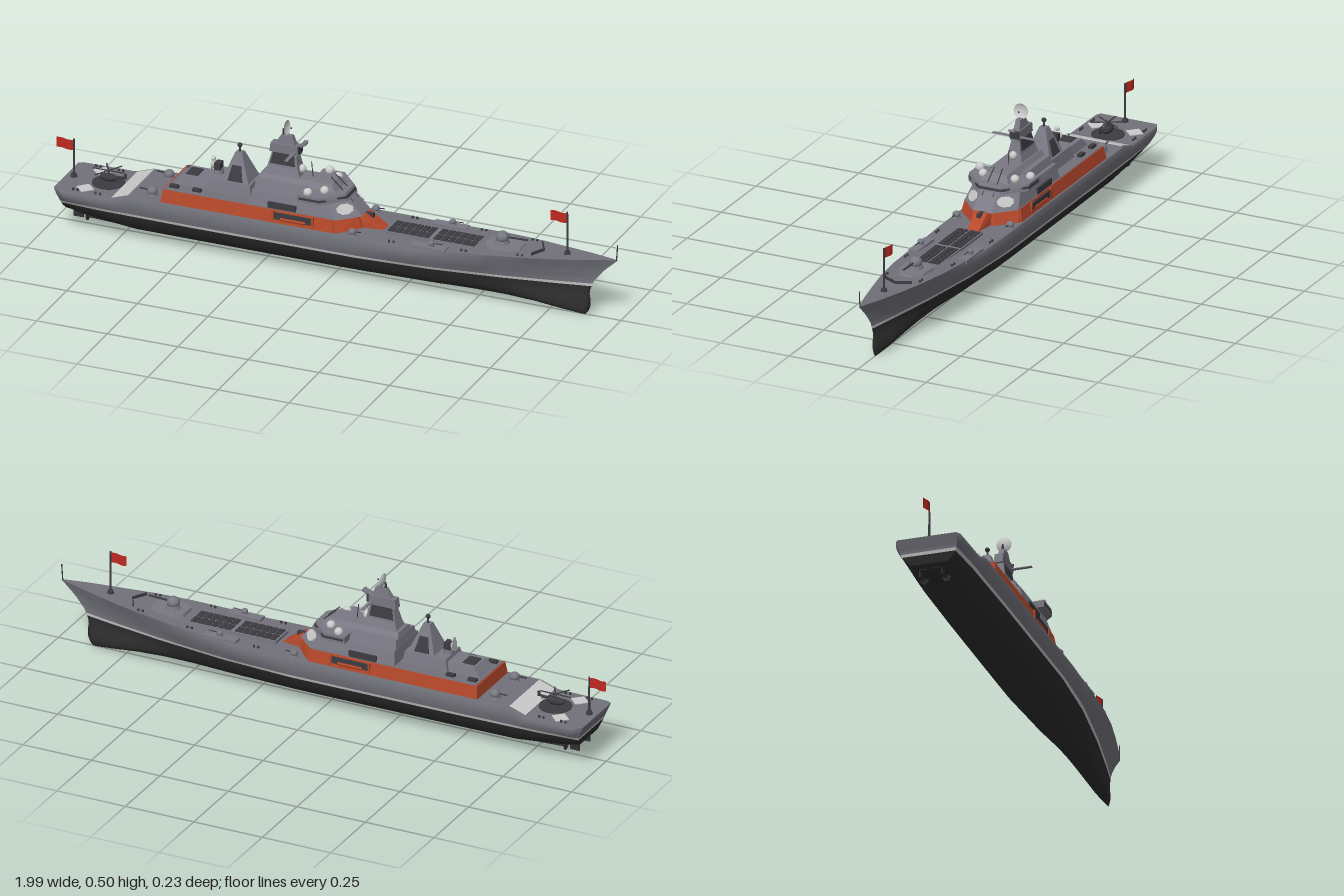
import * as THREE from 'three';
import { ConvexGeometry } from 'three/addons/geometries/ConvexGeometry.js';
import { ParametricGeometry } from 'three/addons/geometries/ParametricGeometry.js';

const mat = (color, flatShading = true) =>
  new THREE.MeshStandardMaterial({ color, flatShading, side: THREE.DoubleSide });
const GREY = mat(0x7a7984), DARK = mat(0x3b3b41), ORANGE = mat(0xb5482a), LIGHT = mat(0xc4c4c0, false);
const DECK = mat(0x72717b), HULL = mat(0x787881, false), BLACK = mat(0x2f2f2f, false), RED = mat(0xc02a22);

// piecewise linear lookup in [[key, value], ...]
function lookup(table, k) {
  if (k <= table[0][0]) return table[0][1];
  for (let i = 1; i < table.length; i++) {
    const [a, va] = table[i - 1], [b, vb] = table[i];
    if (k <= b) return va + (vb - va) * (k - a) / (b - a);
  }
  return table[table.length - 1][1];
}

// hull lines
const STEM = [[0, 0.872], [0.01, 0.882], [0.03, 0.891], [0.05, 0.893], [0.085, 0.888], [0.128, 0.905], [0.17, 0.94], [0.216, 0.99]];
const STERN = [[0.04, -0.9], [0.075, -0.936], [0.123, -0.95], [0.16, -0.966]];
const SHEER = [[-0.76, 0.16], [-0.7, 0.181], [0.34, 0.182], [0.46, 0.189], [0.6, 0.196], [0.8, 0.205], [0.985, 0.216]];
const KEEL = [[-0.94, 0.062], [-0.9, 0.048], [-0.74, 0.028], [0.6, 0.027], [0.7, 0.022], [0.8, 0.01], [0.88, 0.001]];
const BEAM = [[-0.97, 0.1], [-0.95, 0.113], [-0.6, 0.117], [0.2, 0.117], [0.36, 0.112], [0.58, 0.094],
  [0.7, 0.075], [0.8, 0.053], [0.9, 0.028], [0.99, 0]];
const WATERLINE = [[-0.97, 0.09], [-0.8, 0.1], [-0.5, 0.104], [0.1, 0.104], [0.35, 0.088], [0.6, 0.054], [0.78, 0.022], [0.89, 0]];
const FULLNESS = [[0, 0.33], [0.3, 0.36], [0.6, 0.42], [0.8, 0.4], [0.88, 0.3]];
const WL = 0.105;

function hullPoint(u, y, side, target) {
  const a = lookup(STERN, y), x = a + (lookup(STEM, y) - a) * u;
  const xn = -0.966 + 1.956 * u, xw = -0.945 + 1.835 * u;
  const keel = lookup(KEEL, xw), deck = lookup(SHEER, xn);
  const w = lookup(WATERLINE, xw), b = lookup(BEAM, xn);
  let z;
  if (y <= WL) {
    // underwater body, swelling into a faired bulb forward
    const v = Math.max(0, (y - keel) / (WL - keel));
    const bulb = 0.034 * Math.pow(v, 0.35) * (1 - v) ** 2 * THREE.MathUtils.smoothstep(u, 0.76, 0.92);
    z = w * Math.pow(v, lookup(FULLNESS, xw)) + bulb * Math.sqrt(Math.min(1, (1 - u) * 20));
  } else {
    // rounded topsides amidships, flared at the bow
    const q = (y - WL) / (deck - WL), flare = THREE.MathUtils.smoothstep(u, 0.65, 0.9);
    z = w + (b - w) * THREE.MathUtils.lerp(Math.sin(2 * q), q, flare);
  }
  return target.set(x, y, side * z);
}
const deckAt = u => lookup(SHEER, -0.966 + 1.956 * u);
const keelAt = u => lookup(KEEL, -0.945 + 1.835 * u);

export function createModel() {
  const root = new THREE.Group();
  const add = (name, geo, m, x = 0, y = 0, z = 0, parent = root) => {
    const mesh = new THREE.Mesh(geo, m);
    mesh.name = name;
    mesh.position.set(x, y, z);
    parent.add(mesh);
    return mesh;
  };
  const box = (name, m, x, y, z, w, h, d) => add(name, new THREE.BoxGeometry(w, h, d), m, x, y, z);
  const cyl = (name, m, x, y, z, r0, r1, h, n = 12, p = root) =>
    add(name, new THREE.CylinderGeometry(r1, r0, h, n), m, x, y, z, p);
  const ball = (name, m, x, y, z, r, p) => add(name, new THREE.SphereGeometry(r, 18, 12), m, x, y, z, p);
  // rod between two points
  const rod = (name, m, a, b, r, p) => add(name,
    new THREE.TubeGeometry(new THREE.LineCurve3(new THREE.Vector3(...a), new THREE.Vector3(...b)), 1, r, 6), m, 0, 0, 0, p);
  // faceted block from mirrored plan outlines: [y, [x, halfWidth], ...] per level
  const block = (name, m, ...levels) => add(name, new ConvexGeometry(levels.flatMap(([y, ...pts]) =>
    pts.flatMap(([x, w]) => [new THREE.Vector3(x, y, w), new THREE.Vector3(x, y, -w)]))), m);
  const taper = (name, m, y0, [a, b, w], y1, [c, d, v]) =>
    block(name, m, [y0, [a, w], [b, w]], [y1, [c, v], [d, v]]);

  // hull sides in three painted bands
  const bands = [
    ['lowerHull', BLACK, keelAt, () => WL, 14, 2],
    ['waterlineStripe', LIGHT, () => WL, () => 0.115, 1, 1],
    ['upperHull', HULL, () => 0.115, deckAt, 8, 1]];
  for (const [name, m, lo, hi, rows, power] of bands) {
    for (const s of [1, -1]) add(name, new ParametricGeometry((u, v, t) => {
      const k = s > 0 ? u : 1 - u;
      hullPoint(k, lo(k) + (hi(k) - lo(k)) * Math.pow(v, power), s, t);
    }, 140, rows), m);
    add(name + 'Transom', new ParametricGeometry((u, v, t) => {
      hullPoint(0, lo(0) + (hi(0) - lo(0)) * v, 1, t);
      t.z *= 2 * u - 1;
    }, 2, rows), m);
  }
  add('deck', new ParametricGeometry((u, v, t) => {
    hullPoint(u, deckAt(u), 1, t);
    t.z *= 1 - 2 * v;
  }, 140, 2), DECK);
  box('deckRamp', LIGHT, -0.73, 0.1715, 0, 0.062, 0.004, 0.214).rotation.z = 0.337;

  // orange deckhouse with boat bays
  taper('deckhouse', ORANGE, 0.178, [-0.585, 0.03, 0.111], 0.224, [-0.58, 0.02, 0.102]);
  block('deckhouseFront', ORANGE, [0.178, [0.0, 0.111], [0.04, 0.104], [0.1, 0.04]], [0.224, [0.0, 0.102], [0.02, 0.098], [0.085, 0.036]]);
  block('frontWedge', ORANGE, [0.178, [0.05, 0.04], [0.175, 0.02]], [0.224, [0.05, 0.034], [0.105, 0.022]]);
  box('wedgeSlot', DARK, 0.1, 0.212, 0, 0.05, 0.026, 0.014);
  taper('deckhouseRoof', DECK, 0.223, [-0.575, 0.02, 0.1], 0.226, [-0.575, 0.02, 0.099]);
  for (const s of [1, -1]) {
    box('boatBay', DARK, -0.118, 0.201, s * 0.104, 0.135, 0.032, 0.008);
    for (const x of [-0.188, -0.048]) box('bayPost', ORANGE, x, 0.201, s * 0.106, 0.008, 0.042, 0.008);
    const boat = add('boat', new THREE.CapsuleGeometry(0.008, 0.08, 4, 8), ORANGE, -0.118, 0.196, s * 0.103);
    boat.rotation.z = Math.PI / 2;
  }

  // bridge
  block('bridgeBase', GREY, [0.223, [-0.275, 0.096], [0.03, 0.098], [0.098, 0.034]], [0.275, [-0.27, 0.085], [-0.01, 0.085], [0.05, 0.03]]);
  block('bridgeBand', GREY, [0.273, [-0.1, 0.11], [-0.02, 0.11], [0.05, 0.04]], [0.297, [-0.1, 0.11], [-0.025, 0.11], [0.04, 0.038]]);
  block('bridgeWindows', DARK, [0.281, [-0.095, 0.1103], [-0.0215, 0.1103], [0.0475, 0.0395]], [0.289, [-0.095, 0.1103], [-0.0232, 0.1103], [0.0443, 0.0388]]);
  taper('upperHouse', GREY, 0.27, [-0.27, -0.09, 0.075], 0.302, [-0.265, -0.09, 0.065]);
  taper('bridgeRoof', GREY, 0.297, [-0.265, 0.01, 0.05], 0.318, [-0.26, -0.01, 0.036]);
  for (const s of [1, -1]) {
    const panel = add('radarPanel', new THREE.CylinderGeometry(0.026, 0.027, 0.006, 8).rotateY(Math.PI / 8).rotateX(Math.PI / 2).scale(1.15, 0.72, 1),
      LIGHT, 0.047, 0.25, s * 0.059);
    panel.lookAt(panel.position.clone().add(new THREE.Vector3(0.6, 0.48, s * 0.62)));
    for (const [x, z] of [[-0.025, 0.058], [-0.07, 0.092]]) {
      cyl('domeBase', GREY, x, 0.296, s * z, 0.012, 0.012, 0.012);
      ball('radarDome', LIGHT, x, 0.304, s * z, 0.015);
    }
    box('sideLocker', DARK, -0.16, 0.236, s * 0.092, 0.1, 0.022, 0.014);
    rod('bridgeRail', DARK, [-0.02, 0.335, s * 0.015], [0.06, 0.264, s * 0.02], 0.002);
  }
  rod('whipAntenna', DARK, [-0.09, 0.31, 0], [-0.096, 0.37, 0], 0.0015);

  // main mast
  taper('mastFoot', GREY, 0.298, [-0.255, -0.12, 0.038], 0.342, [-0.242, -0.135, 0.023]);
  taper('mastTower', GREY, 0.342, [-0.242, -0.135, 0.023], 0.39, [-0.23, -0.145, 0.014]);
  taper('mastSidePanels', DARK, 0.35, [-0.234, -0.146, 0.0225], 0.388, [-0.226, -0.152, 0.0155]);
  taper('mastHead', GREY, 0.388, [-0.24, -0.135, 0.015], 0.42, [-0.235, -0.14, 0.015]);
  taper('mastTop', GREY, 0.42, [-0.22, -0.15, 0.011], 0.452, [-0.2, -0.162, 0.008]);
  box('mastFrontPanel', DARK, -0.136, 0.408, 0, 0.006, 0.026, 0.032);
  ball('mastDome', LIGHT, -0.128, 0.339, 0, 0.013).scale.y = 1.15;
  box('yard', GREY, -0.15, 0.398, 0, 0.012, 0.003, 0.17);
  box('searchRadar', GREY, -0.138, 0.418, 0, 0.055, 0.008, 0.022).rotation.z = 0.5;
  cyl('dishStand', DARK, -0.195, 0.46, 0, 0.005, 0.003, 0.024, 8);
  const dish = add('dish', new THREE.SphereGeometry(0.05, 24, 5, 0, Math.PI * 2, 0, 0.55).translate(0, -0.05, 0), LIGHT, -0.19, 0.474, 0);
  dish.rotation.z = Math.PI / 2 + 0.1;
  ball('dishFeed', DARK, -0.168, 0.477, 0, 0.003);

  // aft mast and radar directors
  taper('aftHouse', GREY, 0.225, [-0.45, -0.285, 0.06], 0.268, [-0.44, -0.292, 0.052]);
  taper('aftMast', GREY, 0.266, [-0.395, -0.3, 0.046], 0.36, [-0.362, -0.338, 0.012]);
  taper('aftMastPanels', DARK, 0.27, [-0.375, -0.322, 0.0465], 0.32, [-0.365, -0.334, 0.0285]);
  cyl('aftMastPole', DARK, -0.35, 0.37, 0, 0.004, 0.003, 0.03, 8);
  ball('aftMastSensor', DARK, -0.35, 0.383, 0, 0.008);
  taper('hangarHouse', GREY, 0.225, [-0.565, -0.44, 0.05], 0.256, [-0.54, -0.44, 0.042]);
  taper('hangarVent', DARK, 0.25, [-0.535, -0.485, 0.03], 0.26, [-0.53, -0.49, 0.025]);
  cyl('directorBase', GREY, -0.425, 0.276, 0, 0.018, 0.014, 0.024);
  box('directorBody', DARK, -0.425, 0.296, 0, 0.022, 0.025, 0.03);
  for (const [y, r] of [[0.298, 0.019], [0.318, 0.01]])
    cyl('directorDish', LIGHT, -0.441, y, 0, r * 0.5, r, 0.01, 16).rotation.z = Math.PI / 2;
  for (const x of [-0.55, -0.47]) for (const s of [1, -1]) box('roofLocker', DARK, x, 0.23, s * 0.075, 0.03, 0.01, 0.016);

  // gun mounts
  const gun = (name, x, y, z, r, length) => {
    const g = new THREE.Group();
    g.name = name;
    g.position.set(x, y, z);
    root.add(g);
    cyl('mount', GREY, 0, r * 0.25, 0, r * 1.15, r, r * 0.5, 10, g);
    ball('turret', HULL, 0, r * 0.95, 0, r, g).scale.y = 0.9;
    rod('barrel', DARK, [0, r, 0], [length, r * 1.15, 0], r * 0.14, g);
  };
  block('gunPlatform', GREY, [0.188, [0.525, 0.03], [0.55, 0.055], [0.62, 0.05], [0.66, 0.025]],
    [0.204, [0.53, 0.028], [0.555, 0.05], [0.615, 0.045], [0.65, 0.022]]);
  gun('mainGun', 0.58, 0.204, 0, 0.022, 0.09);
  for (const s of [1, -1]) {
    gun('aftGun', -0.63, 0.18, s * 0.07, 0.017, -0.045);
    box('sponson', GREY, 0.36, 0.183, s * 0.09, 0.12, 0.014, 0.034);
    gun('sideGun', 0.365, 0.19, s * 0.09, 0.011, 0.04);
    gun('bridgeGun', 0.09, 0.182, s * 0.098, 0.013, 0.03);
    box('breakwater', DARK, 0.715, 0.205, s * 0.024, 0.004, 0.012, 0.054).rotation.y = -s * 0.5;
    for (const x of [-0.9, -0.82, 0.22, 0.47, 0.66]) for (const d of [0, 0.016])
      cyl('bollard', DARK, x + d, lookup(SHEER, x) + 0.003, s * (lookup(BEAM, x) - 0.018), 0.004, 0.004, 0.008, 8);
  }

  // vertical launch cells
  box('launcherBase', GREY, 0.345, 0.184, 0, 0.325, 0.014, 0.09);
  for (let i = 0; i < 12; i++) for (const z of [-0.032, -0.012, 0.012, 0.032])
    box('launchCell', DARK, 0.2 + i * 0.025 + (i > 5 ? 0.012 : 0), 0.191, z, 0.021, 0.006, 0.017);

  // flight deck and helicopter
  cyl('landingCircle', DARK, -0.815, 0.1615, 0, 0.055, 0.055, 0.003, 24);
  for (const s of [1, -1]) box('deckMark', LIGHT, -0.868, 0.161, s * 0.07, 0.045, 0.003, 0.045).rotation.y = Math.PI / 4;
  add('helicopterBody', new THREE.SphereGeometry(0.017, 14, 10).scale(1.9, 0.8, 0.9), DARK, -0.815, 0.18, 0);
  rod('tailBoom', DARK, [-0.825, 0.184, 0], [-0.755, 0.188, 0], 0.004);
  box('tailFin', DARK, -0.755, 0.193, 0, 0.01, 0.018, 0.003);
  cyl('rotorHub', DARK, -0.815, 0.197, 0, 0.004, 0.004, 0.016, 8);
  for (let i = 0; i < 3; i++) box('rotorBlade', DARK, -0.815, 0.204, 0, 0.11, 0.002, 0.005).rotation.y = i * Math.PI / 3;

  // flags and bow staff
  for (const [x, y, h, f] of [[-0.938, 0.16, 0.135, 0.062], [0.81, 0.205, 0.152, 0.06]]) {
    cyl('flagBase', DARK, x, y + 0.006, 0, 0.012, 0.008, 0.012);
    cyl('flagPole', DARK, x, y + h / 2, 0, 0.004, 0.003, h, 8);
    add('flag', new ParametricGeometry((u, v, t) =>
      t.set(x - f * u, y + h - 0.04 + 0.036 * v, 0.004 * Math.sin(u * 6)), 10, 1), RED);
  }
  rod('bowStaff', DARK, [0.984, 0.214, 0], [0.988, 0.27, 0], 0.002);

  // rudders, shafts and propellers
  for (const s of [1, -1]) {
    box('rudder', BLACK, -0.905, 0.055, s * 0.038, 0.035, 0.032, 0.005);
    rod('propellerShaft', BLACK, [-0.74, 0.04, s * 0.035], [-0.88, 0.047, s * 0.038], 0.004);
    for (let i = 0; i < 4; i++) box('propellerBlade', BLACK, -0.872, 0.047, s * 0.038, 0.004, 0.028, 0.007).rotation.x = i * Math.PI / 4;
  }
  return root;
}
